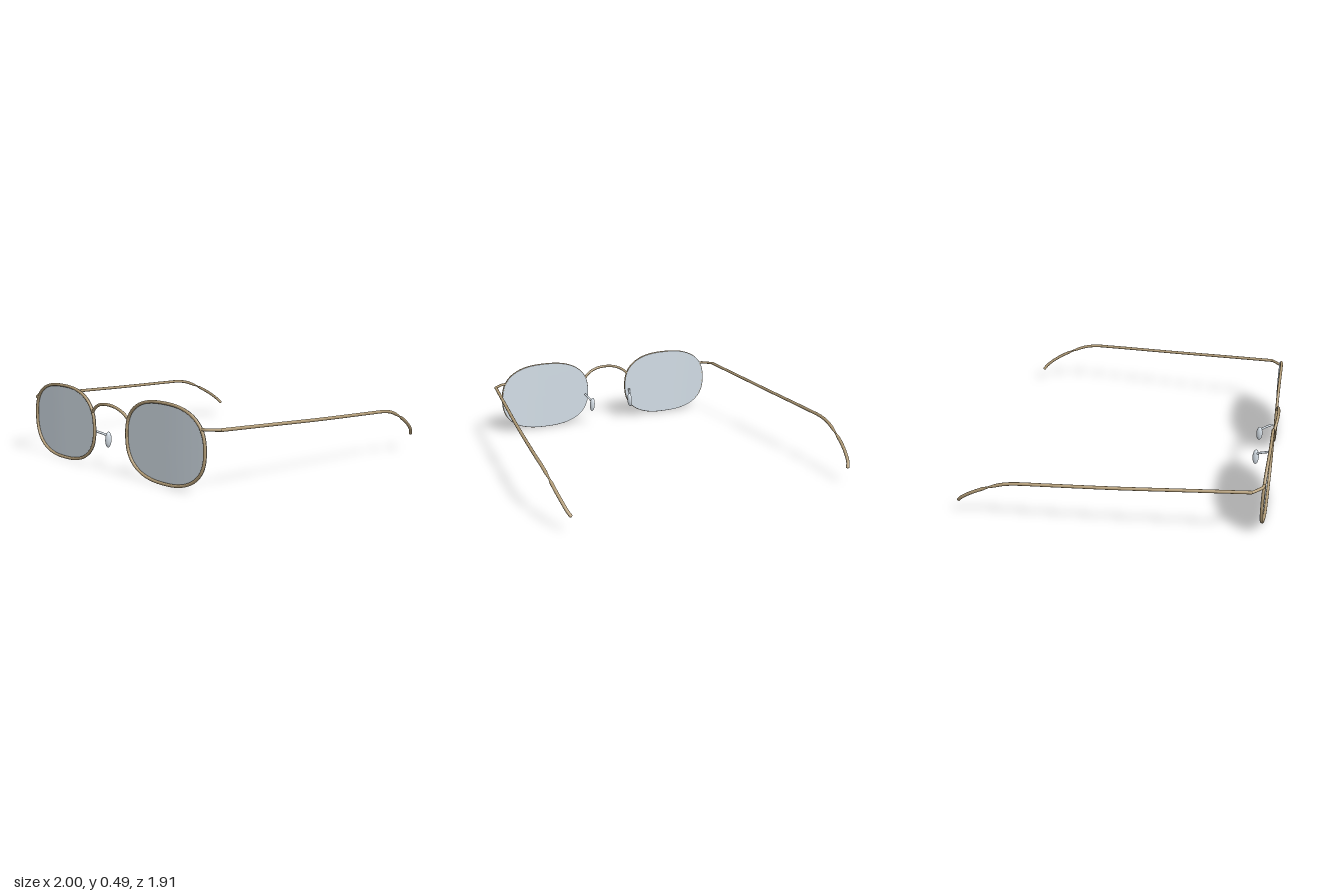
import * as THREE from 'three';

const V = (x, y, z) => new THREE.Vector3(x, y, z);
const CX = 0.49, CY = 0.247, POWER = 2.5;

// Rounded-rectangle outline, wrapped slightly backwards at the temple side
function outline(angle, a, b, scale = 1, dz = 0) {
  const c = Math.cos(angle), s = Math.sin(angle);
  const u = Math.sign(c) * Math.abs(c) ** (2 / POWER) * a * scale;
  const v = Math.sign(s) * Math.abs(s) ** (2 / POWER) * b * scale;
  const wrap = 0.015 * Math.max(0, u / a) ** 2;
  return V(CX + u, CY + v, 0.928 - wrap + dz);
}

// Round wire along a path with a radius that may vary; ends are closed
function wire(points, radius, segments, profile = () => 1) {
  const path = new THREE.CatmullRomCurve3(points, false, 'centripetal');
  const sides = 10;
  const geo = new THREE.TubeGeometry(path, segments, radius, sides, false);
  const pos = geo.attributes.position, p = V(0, 0, 0);
  for (let i = 0; i <= segments; i++) {
    const centre = path.getPointAt(i / segments);
    const k = i === 0 || i === segments ? 0.001 : profile(i / segments);
    for (let j = 0; j <= sides; j++) {
      const n = i * (sides + 1) + j;
      p.fromBufferAttribute(pos, n).sub(centre).multiplyScalar(k).add(centre);
      pos.setXYZ(n, p.x, p.y, p.z);
    }
  }
  return geo;
}

export function createModel() {
  const model = new THREE.Group();
  model.name = 'eyeglasses';
  const brass = new THREE.MeshStandardMaterial({ color: 0xb39d78 });
  brass.name = 'antique brass';
  const glass = new THREE.MeshStandardMaterial({ color: 0xd4dfe8, side: THREE.DoubleSide });
  glass.name = 'pale grey glass';
  const silver = new THREE.MeshStandardMaterial({ color: 0xd6dfe7 });
  silver.name = 'pale silver';

  // Mirrors a geometry to the other side, keeping faces outward
  function mirrored(geo) {
    const g = geo.clone().scale(-1, 1, 1);
    const idx = g.index.array;
    for (let i = 0; i < idx.length; i += 3) [idx[i], idx[i + 1]] = [idx[i + 1], idx[i]];
    return g;
  }
  function add(name, geo, material) {
    const mesh = new THREE.Mesh(geo, material);
    mesh.name = name;
    model.add(mesh);
  }
  function addPair(name, geo, material) {
    add('left' + name, geo, material);
    add('right' + name, mirrored(geo), material);
  }

  // Rims
  const rimPoints = [];
  for (let i = 0; i < 64; i++) rimPoints.push(outline(i / 64 * Math.PI * 2, 0.33, 0.2375));
  const rimPath = new THREE.CatmullRomCurve3(rimPoints, true);
  addPair('Rim', new THREE.TubeGeometry(rimPath, 112, 0.0095, 10, true), brass);

  // Lenses, seated against the back of the rims
  const lens = new THREE.RingGeometry(0.001, 1, 80, 8);
  const lp = lens.attributes.position;
  for (let i = 0; i < lp.count; i++) {
    const x = lp.getX(i), y = lp.getY(i);
    const q = outline(Math.atan2(y, x), 0.336, 0.2435, Math.hypot(x, y), -0.0098);
    lp.setXYZ(i, q.x, q.y, q.z);
  }
  lens.computeVertexNormals();
  addPair('Lens', lens, glass);

  // Arched bridge
  add('bridge', wire([
    V(-0.175, 0.347, 0.927), V(-0.14, 0.379, 0.934), V(-0.08, 0.407, 0.943), V(0, 0.417, 0.947),
    V(0.08, 0.407, 0.943), V(0.14, 0.379, 0.934), V(0.175, 0.347, 0.927),
  ], 0.0095, 60), brass);

  // Hinge end pieces
  addPair('EndPiece', wire([
    V(0.795, 0.371, 0.916), V(0.822, 0.371, 0.909), V(0.855, 0.371, 0.881), V(0.888, 0.371, 0.849),
  ], 0.009, 30), brass);

  // Temples, tapering at the ear-piece joint
  addPair('Temple', wire([
    V(0.884, 0.371, 0.859), V(0.914, 0.356, 0.5), V(0.951, 0.337, 0.05), V(0.983, 0.322, -0.4),
    V(0.99, 0.316, -0.53), V(0.988, 0.3, -0.62), V(0.978, 0.255, -0.735),
  ], 0.0105, 220, t => Math.min(1, 0.45 + (1 - t) * 14)), brass);

  // Curved ear pieces
  addPair('EarPiece', wire([
    V(0.979, 0.26, -0.722), V(0.971, 0.22, -0.8), V(0.957, 0.173, -0.875),
    V(0.942, 0.132, -0.925), V(0.924, 0.1, -0.951),
  ], 0.0105, 60, t => Math.min(1, 0.45 + t * 4)), brass);

  // Nose pads and their arms
  addPair('PadArm', wire([
    V(0.182, 0.224, 0.91), V(0.17, 0.207, 0.868), V(0.156, 0.185, 0.825),
  ], 0.0075, 20), silver);
  const pad = new THREE.SphereGeometry(1, 24, 16).scale(0.018, 0.052, 0.021);
  pad.rotateZ(0.08).translate(0.154, 0.16, 0.826);
  addPair('NosePad', pad, silver);

  return model;
}
